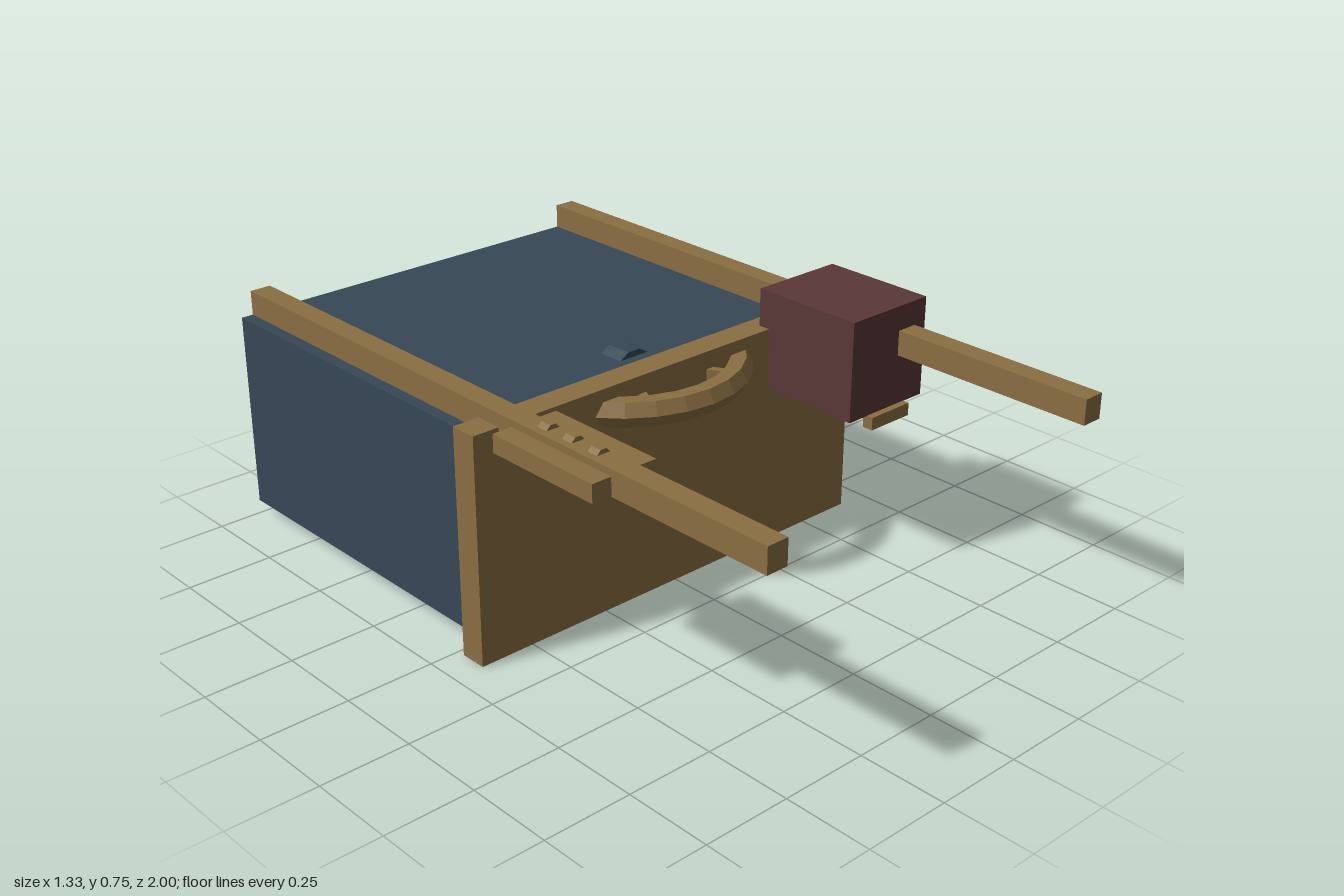
import * as THREE from 'three';

export function createModel() {
  const wood = new THREE.MeshStandardMaterial({ color: 0x8a6e42 });
  wood.name = 'tan wood';
  const slate = new THREE.MeshStandardMaterial({ color: 0x364856 });
  slate.name = 'slate blue';
  const maroon = new THREE.MeshStandardMaterial({ color: 0x5a3737 });
  maroon.name = 'maroon';

  const model = new THREE.Group();
  model.name = 'drawerUnit';

  const add = (name, geometry, material) => {
    const mesh = new THREE.Mesh(geometry, material);
    mesh.name = name;
    model.add(mesh);
    return mesh;
  };

  // Box given by its extents along each axis
  const box = (name, material, [x0, x1], [y0, y1], [z0, z1]) => {
    const g = new THREE.BoxGeometry(x1 - x0, y1 - y0, z1 - z0);
    g.translate((x0 + x1) / 2, (y0 + y1) / 2, (z0 + z1) / 2);
    return add(name, g, material);
  };

  // Low faceted hump, running along z
  const hump = (name, material, x, y, z, width, height, length) => {
    const w = width / 2;
    const shape = new THREE.Shape([
      new THREE.Vector2(-w, 0), new THREE.Vector2(w, 0),
      new THREE.Vector2(w * 0.4, height), new THREE.Vector2(-w * 0.4, height),
    ]);
    const g = new THREE.ExtrudeGeometry(shape, { depth: length, bevelEnabled: false });
    g.translate(x, y, z - length / 2);
    return add(name, g, material);
  };

  // Main case and front panel
  box('case', slate, [-0.62, 0.62], [0.04, 0.607], [-1, 0.025]);
  box('frontPanel', wood, [-0.663, 0.663], [0, 0.64], [0.022, 0.1]);

  // Long rails across the top
  for (const [name, x] of [['leftRail', 0.548], ['rightRail', -0.554]]) {
    box(name, wood, [x - 0.031, x + 0.031], [0.607, 0.677], [-1, 1]);
  }

  // Block on the left rail with its small tab
  box('block', maroon, [0.338, 0.62], [0.465, 0.747], [0.065, 0.402]);
  box('blockTab', wood, [0.405, 0.55], [0.43, 0.466], [0.39, 0.422]);

  // Side plate and studs on the right rail
  box('sidePlate', wood, [-0.642, -0.447], [0.608, 0.658], [0.15, 0.508]);
  for (const z of [0.24, 0.33, 0.42]) hump('stud', wood, -0.545, 0.676, z, 0.042, 0.013, 0.034);

  // Raised catch on top of the case
  hump('topCatch', slate, -0.003, 0.606, -0.1, 0.1, 0.018, 0.075);

  // Curved pull handle with two short struts
  const arc = 1.9;
  const pull = new THREE.TorusGeometry(0.31, 0.04, 6, 8, arc).toNonIndexed();
  pull.rotateZ(Math.PI / 2 - arc / 2);
  pull.rotateX(Math.PI / 2);
  pull.translate(0, 0.57, -0.11);
  pull.computeVertexNormals();
  add('handle', pull, wood);
  for (const side of [-1, 1]) {
    const strut = add('handleStrut', new THREE.BoxGeometry(0.022, 0.04, 0.07), wood);
    strut.position.set(side * 0.13, 0.57, 0.12);
    strut.rotation.y = side * 0.5;
  }

  return model;
}
